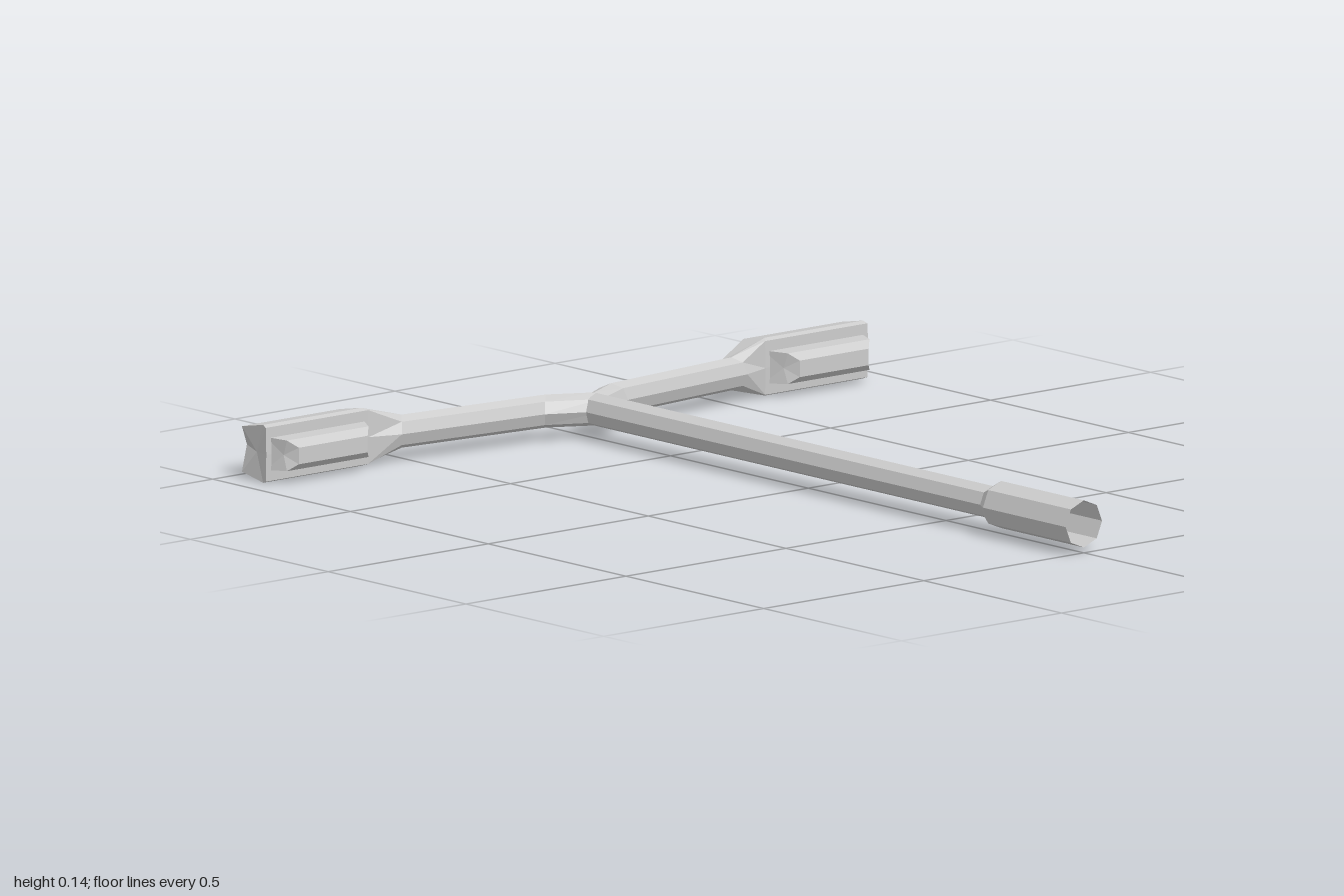
import * as THREE from 'three';

const MID = 0.07; // height of the centre line
const mat = new THREE.MeshStandardMaterial({ color: 0xcccccc, flatShading: true, side: THREE.DoubleSide });

// Skin a row of equal-length rings (running along +x), mirrored when side is -1
function loft(rings, side, capStart, capEnd) {
  const pos = [];
  const tri = (...pts) => {
    if (side < 0) pts.reverse();
    pts.forEach(p => pos.push(side * p[0], p[1], p[2]));
  };
  const n = rings[0].length;
  const centre = ring => [0, 1, 2].map(k => ring.reduce((s, p) => s + p[k], 0) / n);
  for (let i = 0; i + 1 < rings.length; i++) {
    for (let j = 0; j < n; j++) {
      const k = (j + 1) % n, [r, q] = [rings[i], rings[i + 1]];
      tri(r[j], q[j], r[k]);
      tri(r[k], q[j], q[k]);
    }
  }
  const first = rings[0], last = rings[rings.length - 1];
  for (let j = 0; j < n; j++) {
    const k = (j + 1) % n;
    if (capStart) tri(centre(first), first[j], first[k]);
    if (capEnd) tri(centre(last), last[k], last[j]);
  }
  const geo = new THREE.BufferGeometry();
  geo.setAttribute('position', new THREE.Float32BufferAttribute(pos, 3));
  geo.computeVertexNormals();
  return geo;
}

// Octagonal arm section spanned between a back point and a front point
function armRing(xb, zb, xf, zf, half = 0.04) {
  return Array.from({ length: 8 }, (_, j) => {
    const a = j * Math.PI / 4, t = (1 - Math.sin(a)) / 2;
    return [xb + (xf - xb) * t, MID + half * Math.cos(a), zb + (zf - zb) * t];
  });
}

// Head section: pointed back, flat front; x differs for back tip, body and front
function headRing(xBack, xBody, xFront) {
  return [
    [xBody, 0.14, -0.89], [xBody, 0.125, -0.967], [xBack, MID, -1], [xBody, 0.015, -0.967],
    [xBody, 0, -0.89], [xFront, 0.005, -0.877], [xFront, MID, -0.875], [xFront, 0.135, -0.877],
  ];
}

// Pad section with chamfered front; inner and outer ends taper towards the front
function padRing(xBase, xMid, xTip) {
  return [
    [xBase, 0.11, -0.89], [xBase, 0.03, -0.89], [xMid, 0.033, -0.835], [xTip, 0.05, -0.815],
    [xTip, 0.09, -0.815], [xMid, 0.107, -0.835],
  ];
}

export function createModel() {
  const model = new THREE.Group();
  const add = (geo, name, parent) => {
    const mesh = new THREE.Mesh(geo, mat);
    mesh.name = name;
    parent.add(mesh);
  };

  // Eight-sided shaft with an open socket at the front
  const profile = [[0, -0.8], [0.04, -0.77], [0.04, 0.67], [0.057, 0.7], [0.057, 1]];
  const shaft = new THREE.LatheGeometry(profile.map(p => new THREE.Vector2(...p)), 8);
  shaft.rotateX(Math.PI / 2).translate(0, MID, 0);
  add(shaft, 'shaftAndSocket', model);

  // Mirrored arms, each with a head and a pad
  for (const side of [1, -1]) {
    const arm = new THREE.Group();
    arm.name = side > 0 ? 'leftArm' : 'rightArm';
    const neck = armRing(0.49, -0.907, 0.54, -0.848);
    const shoulder = headRing(0.625, 0.63, 0.62);
    add(loft([armRing(0, -0.815, 0, -0.74), armRing(0.075, -0.862, 0.13, -0.805), neck, shoulder], side), 'armBar', arm);
    add(loft([shoulder, headRing(0.893, 0.937, 0.94)], side, false, true), 'head', arm);
    add(loft([padRing(0.625, 0.655, 0.675), padRing(0.93, 0.91, 0.89)], side, true, true), 'pad', arm);
    model.add(arm);
  }
  return model;
}
